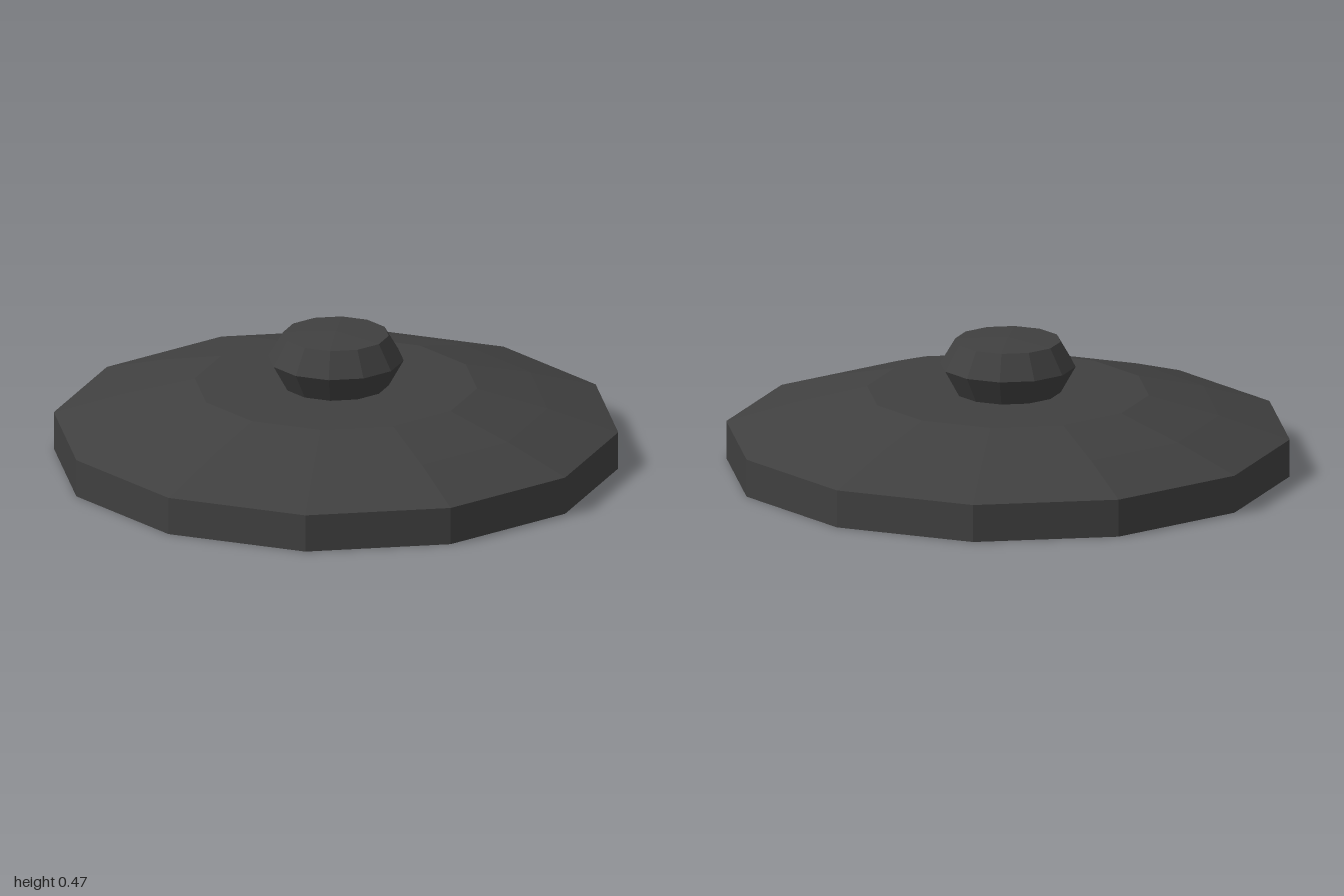
import * as THREE from 'three';

const SIDES = 12;

// Faceted turned part from a [radius, height] profile, bottom to top
function turned(name, profile, material) {
  const points = profile.map(([r, y]) => new THREE.Vector2(r, y));
  const mesh = new THREE.Mesh(new THREE.LatheGeometry(points, SIDES), material);
  mesh.name = name;
  return mesh;
}

export function createModel() {
  const group = new THREE.Group();
  group.name = 'lid';
  const material = new THREE.MeshStandardMaterial({ color: 0x404040, flatShading: true });

  // Shallow dome of even thickness: the hollow underside repeats the top slope
  const thickness = 0.135;
  const slope = [[1, 0], [0.75, 0.08], [0.5, 0.145], [0, 0.145]];
  const top = slope.map(([r, y]) => [r, y + thickness]);
  group.add(turned('dome', [...slope].reverse().concat(top), material));

  // Knob, flared at its middle, with a slightly raised top
  group.add(turned('knob', [[0.187, 0.28], [0.24, 0.375], [0.187, 0.465], [0, 0.475]], material));

  return group;
}
